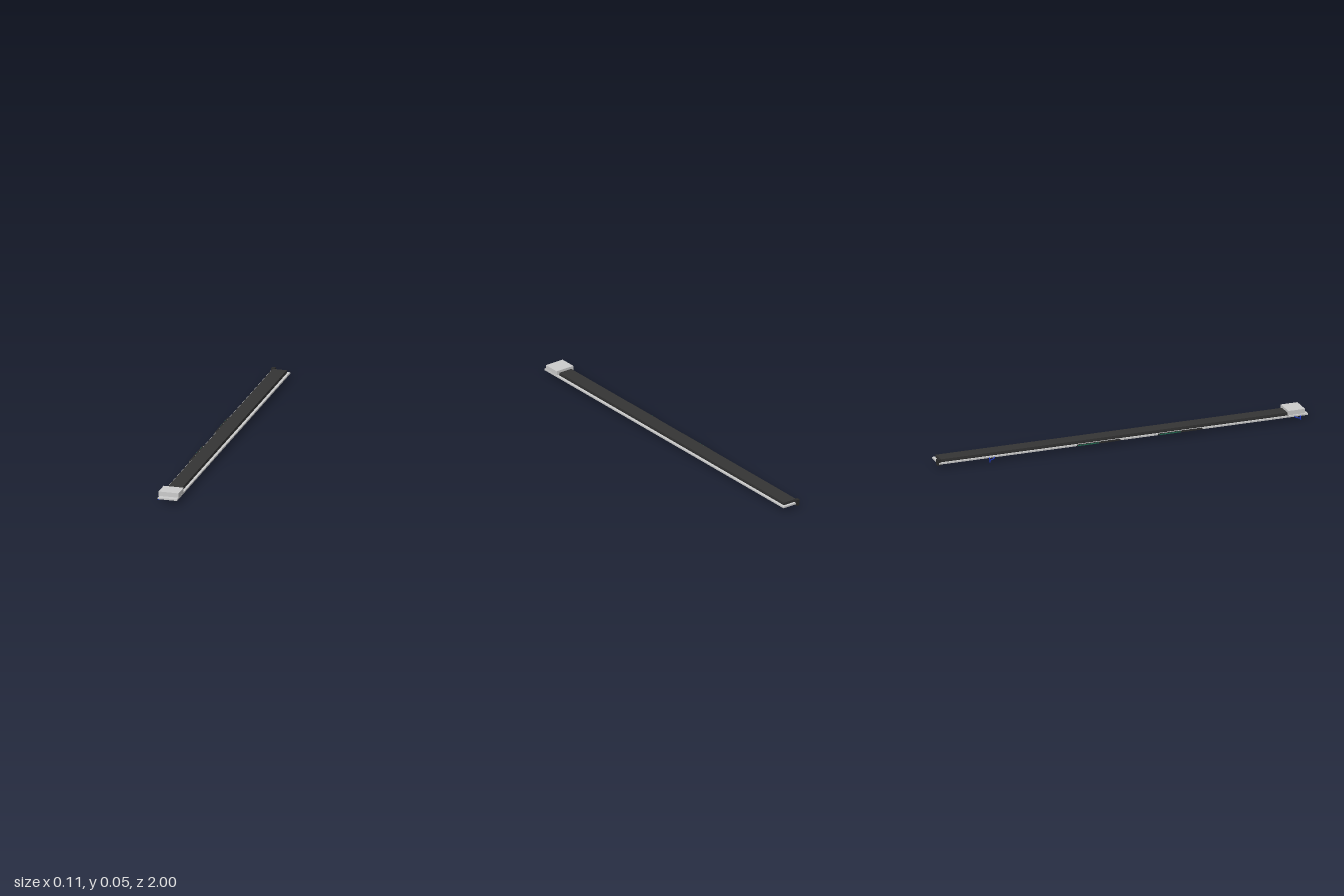
import * as THREE from 'three';

const grey = new THREE.MeshStandardMaterial({ color: 0xcccccc });
const paint = (color) => new THREE.MeshStandardMaterial({ color });
const black = paint(0x2b2b2b);
const rubber = paint(0x343434);
const green = paint(0x1f6a50);
const blue = paint(0x1c36c8);

// Box given by its minimum and maximum corners
function box(name, [x0, y0, z0], [x1, y1, z1], material) {
  const mesh = new THREE.Mesh(new THREE.BoxGeometry(x1 - x0, y1 - y0, z1 - z0), material);
  mesh.position.set((x0 + x1) / 2, (y0 + y1) / 2, (z0 + z1) / 2);
  mesh.name = name;
  return mesh;
}

// Flat rectangular frame, open in the middle
function frame() {
  const rect = (x0, z0, x1, z1) => [
    new THREE.Vector2(x0, -z1), new THREE.Vector2(x1, -z1),
    new THREE.Vector2(x1, -z0), new THREE.Vector2(x0, -z0),
  ];
  const shape = new THREE.Shape(rect(-0.047, -0.993, 0.054, 1));
  shape.holes.push(new THREE.Path(rect(-0.035, -0.975, 0.04, 0.965).reverse()));
  const geometry = new THREE.ExtrudeGeometry(shape, { depth: 0.008, bevelEnabled: false });
  geometry.rotateX(-Math.PI / 2);
  const mesh = new THREE.Mesh(geometry, grey);
  mesh.position.y = 0.0205;
  mesh.name = 'baseFrame';
  return mesh;
}

// Dark side strip, its rear half faced with a green circuit board
function sideBoard(z0, z1) {
  const group = new THREE.Group();
  group.name = 'sideBoard';
  group.add(box('boardHousing', [-0.053, 0.0215, z0], [-0.046, 0.029, z1], black));
  group.add(box('circuitBoard', [-0.0545, 0.0225, z0 + 0.004], [-0.053, 0.028, (z0 + z1) / 2], green));
  return group;
}

// Drooping wire with a second strand looping into it; dir is the tail's z direction
function wires(z, dir) {
  const group = new THREE.Group();
  group.name = 'wirePair';
  const paths = [
    [[-0.045, 0.023, 0], [-0.05, 0.019, 0], [-0.054, 0.01, 0], [-0.0555, 0.001, 0]],
    [[-0.045, 0.023, -0.028], [-0.049, 0.02, -0.028], [-0.052, 0.015, -0.018], [-0.054, 0.01, 0]],
  ];
  for (const points of paths) {
    const path = new THREE.CatmullRomCurve3(
      points.map(([x, y, dz]) => new THREE.Vector3(x, y, z + dz * dir)));
    const wire = new THREE.Mesh(new THREE.TubeGeometry(path, 16, 0.0025, 8), blue);
    wire.name = 'wire';
    group.add(wire);
  }
  return group;
}

export function createModel() {
  const model = new THREE.Group();
  model.name = 'conveyor';
  model.add(frame());

  // Dark bed and the belt on top of it
  model.add(box('bed', [-0.037, 0.0275, -0.979], [0.041, 0.0335, 0.97], black));
  model.add(box('belt', [-0.034, 0.0335, -0.979], [0.04, 0.043, 0.965], rubber));

  // Cover over the front end
  model.add(box('frontCover', [-0.048, 0.0325, 0.893], [0.057, 0.0555, 0.983], grey));

  // Small block clamped to the back corner
  model.add(box('cornerBlock', [-0.042, 0.014, -1], [-0.024, 0.045, -0.98], black));

  model.add(sideBoard(-0.25, -0.016), sideBoard(0.19, 0.427));
  model.add(wires(0.957, 1), wires(-0.722, -1));
  return model;
}
